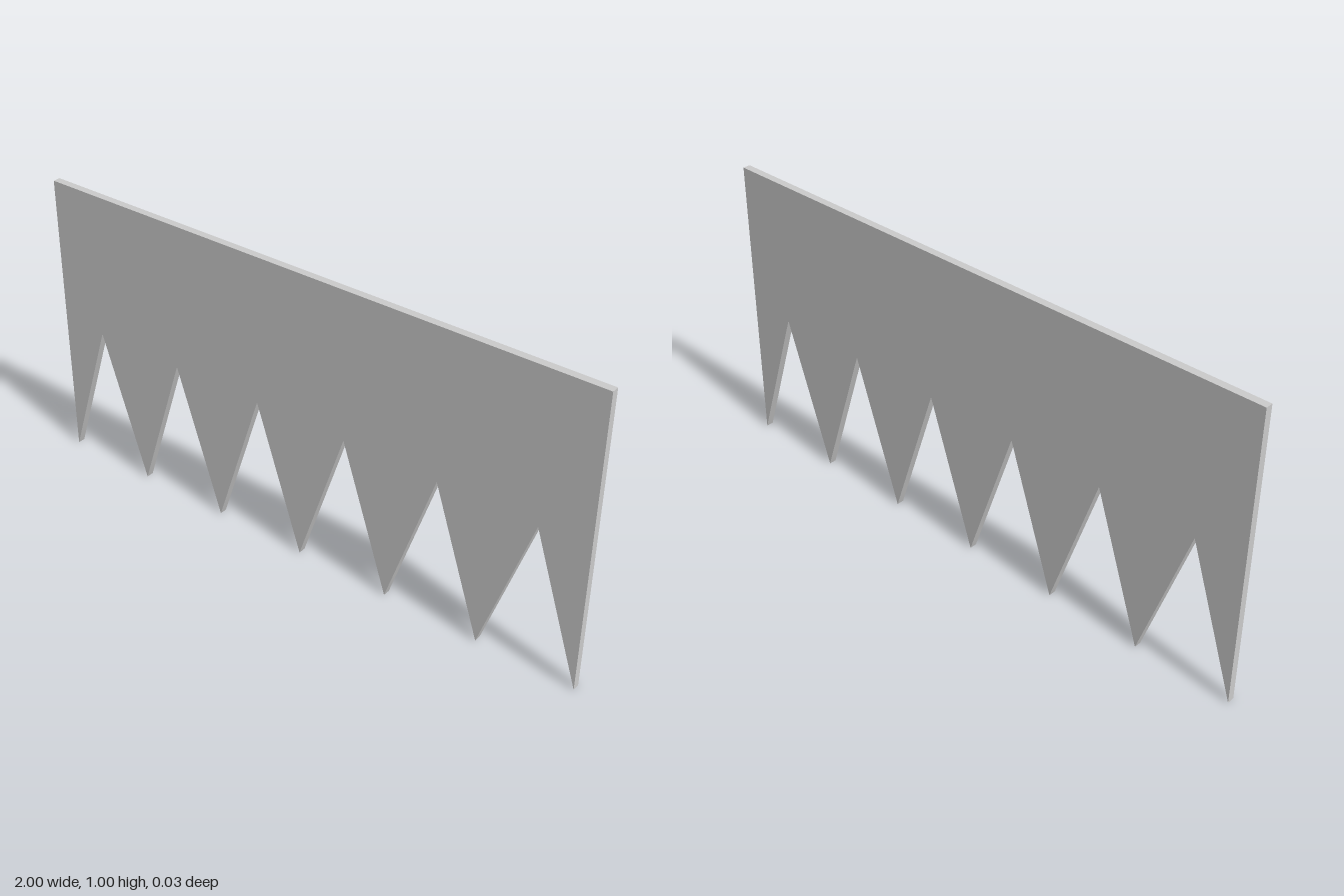
import * as THREE from 'three';

const TEETH = 6, WIDTH = 2, HEIGHT = 1, NOTCH = 0.5, DEPTH = 0.025;

export function createModel() {
  const group = new THREE.Group();
  group.name = 'sawtoothPanel';

  // Outline: straight top and sides, zigzag lower edge
  const outline = new THREE.Shape();
  const pitch = WIDTH / TEETH;
  outline.moveTo(-WIDTH / 2, 0);
  for (let i = 0; i < TEETH; i++) {
    const x = -WIDTH / 2 + i * pitch;
    outline.lineTo(x + pitch / 2, NOTCH);
    outline.lineTo(x + pitch, 0);
  }
  outline.lineTo(WIDTH / 2, HEIGHT);
  outline.lineTo(-WIDTH / 2, HEIGHT);
  outline.closePath();

  // Thin flat sheet centred on z = 0
  const geometry = new THREE.ExtrudeGeometry(outline, { depth: DEPTH, bevelEnabled: false });
  geometry.translate(0, 0, -DEPTH / 2);

  const panel = new THREE.Mesh(
    geometry,
    new THREE.MeshStandardMaterial({ color: 0xcccccc, flatShading: true })
  );
  panel.name = 'toothedPanel';
  group.add(panel);
  return group;
}
